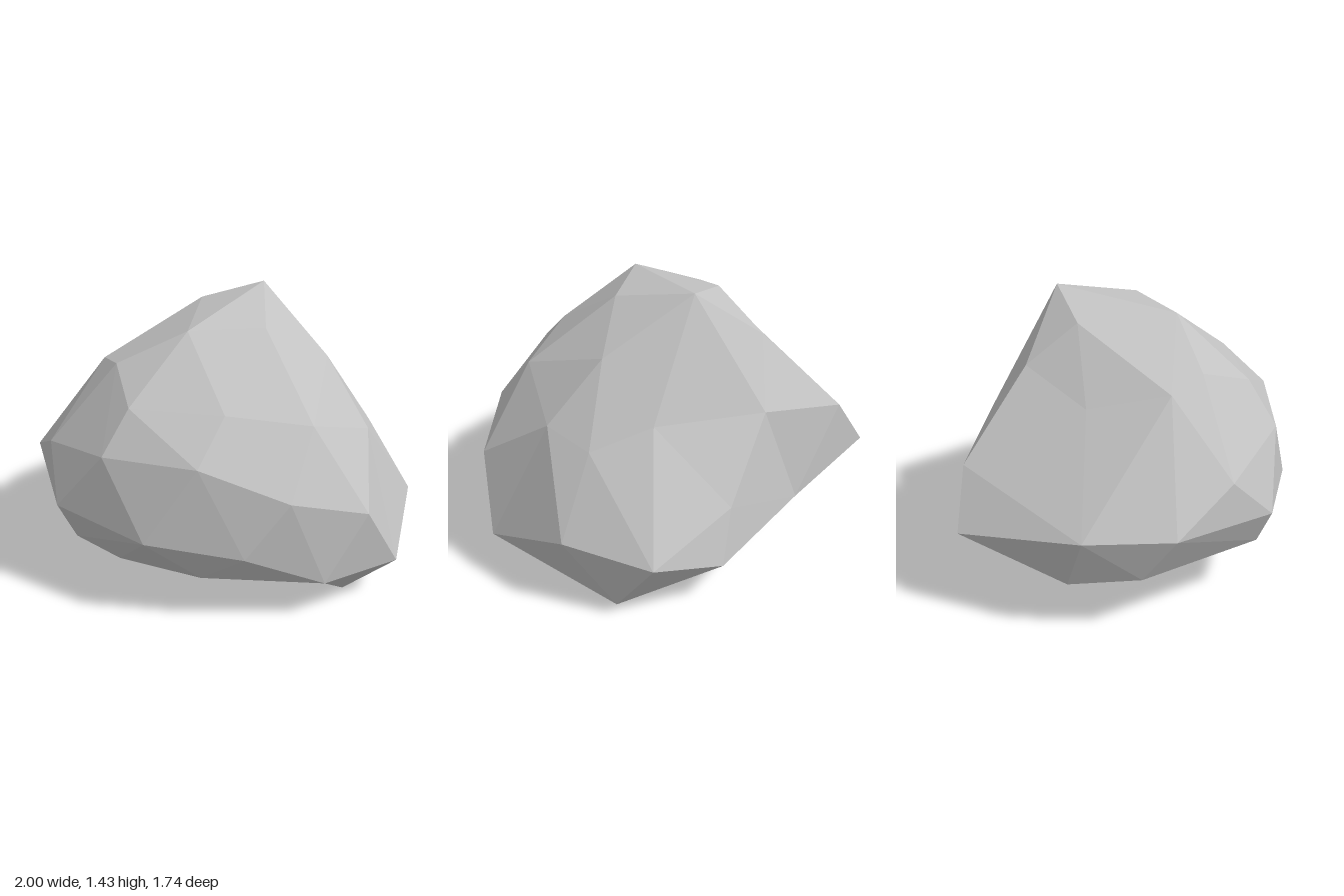
import * as THREE from 'three';
import { ConvexGeometry } from 'three/addons/geometries/ConvexGeometry.js';

// Boulder corners, grouped in bands from the crown down to the base
const crown = [
  [0, 1.435, -0.35], [-0.26, 1.35, -0.16], [0.24, 1.345, 0], [-0.03, 1.36, 0.28],
];
const shoulder = [
  [-0.32, 1.19, 0.48], [-0.49, 1.14, 0.37], [-0.10, 1.08, 0.665], [0.31, 1.07, 0.455],
  [0.64, 1.0, 0.19], [0.45, 1.16, -0.25], [0.33, 0.89, -0.53], [-0.38, 1.15, -0.39],
  [-0.55, 1.04, -0.03],
];
const waist = [
  [-0.59, 0.775, 0.70], [-0.15, 0.87, 0.82], [0.31, 0.88, 0.68], [0.69, 0.715, 0.46],
  [0.73, 0.85, -0.20], [0.62, 0.78, -0.42], [0.05, 0.49, -0.79], [-0.25, 0.85, -0.62],
  [-0.73, 0.75, -0.60],
];
const rim = [
  [-1.0, 0.585, 0.08], [-0.87, 0.59, 0.50], [-0.42, 0.535, 0.865], [0.10, 0.48, 0.84],
  [0.53, 0.425, 0.61], [0.935, 0.59, 0.14], [1.0, 0.235, -0.07], [0.83, 0.39, -0.52],
  [0.53, 0.34, -0.87], [0.14, 0.23, -0.87], [-0.43, 0.33, -0.67], [-0.92, 0.48, -0.57],
];
const base = [
  [-0.92, 0.29, -0.02], [-0.85, 0.335, 0.33], [-0.37, 0.335, 0.79], [-0.17, 0.225, 0.70],
  [0.27, 0.225, 0.61], [0.81, 0.24, 0.32], [0.74, 0.0, 0], [0.62, 0.05, -0.67],
  [0.09, 0.10, -0.66], [-0.49, 0.235, 0], [0.40, 0.10, 0.145], [-0.10, 0.165, 0.39],
];

// Joins the corners as seen from the centre, so shallow hollows are kept;
// evening out their distances first lets ridges win over dips
function facetedShell(corners, centre) {
  const evened = corners.map((c) => {
    const d = c.clone().sub(centre);
    return d.setLength(d.length() ** 0.2);
  });
  const geometry = new ConvexGeometry(evened);
  const pos = geometry.attributes.position;
  const v = new THREE.Vector3();
  for (let i = 0; i < pos.count; i++) {
    v.fromBufferAttribute(pos, i);
    let best = 0;
    evened.forEach((e, k) => { if (e.distanceTo(v) < evened[best].distanceTo(v)) best = k; });
    pos.setXYZ(i, ...corners[best].toArray());
  }
  geometry.computeVertexNormals();
  return geometry;
}

export function createModel() {
  const group = new THREE.Group();
  group.name = 'rock';

  const stone = new THREE.MeshStandardMaterial({ color: 0xc2c2c2 });
  stone.name = 'stone grey';
  stone.flatShading = true;

  // Single faceted boulder
  const corners = [...crown, ...shoulder, ...waist, ...rim, ...base].map((p) => new THREE.Vector3(...p));
  const boulder = new THREE.Mesh(facetedShell(corners, new THREE.Vector3(0, 0.6, -0.05)), stone);
  boulder.name = 'boulder';
  group.add(boulder);
  return group;
}
